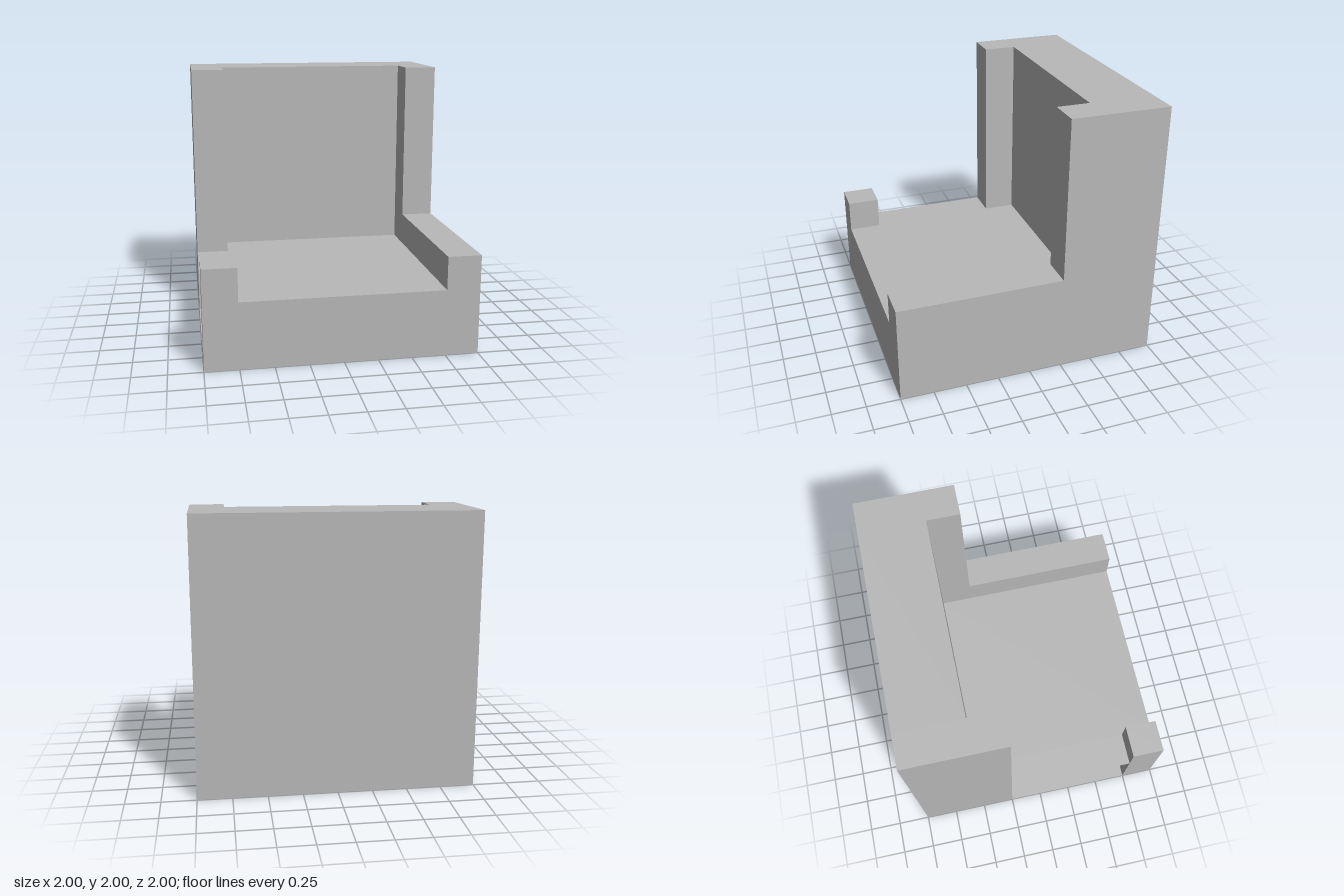
import * as THREE from 'three';

export function createModel() {
  const group = new THREE.Group();
  group.name = 'armchair';
  const grey = new THREE.MeshStandardMaterial({ color: 0xb8b8b8, side: THREE.DoubleSide });
  grey.name = 'grey';

  // box given by its minimum and maximum on each axis
  function block(name, [x0, x1], [y0, y1], [z0, z1]) {
    const mesh = new THREE.Mesh(new THREE.BoxGeometry(x1 - x0, y1 - y0, z1 - z0), grey);
    mesh.position.set((x0 + x1) / 2, (y0 + y1) / 2, (z0 + z1) / 2);
    mesh.name = name;
    group.add(mesh);
  }

  // horizontal sheet facing up (dir 1) or down (dir -1)
  function sheet(name, [x0, x1], y, [z0, z1], dir) {
    const geo = new THREE.PlaneGeometry(x1 - x0, z1 - z0).rotateX(-dir * Math.PI / 2);
    const mesh = new THREE.Mesh(geo, grey);
    mesh.position.set((x0 + x1) / 2, y, (z0 + z1) / 2);
    mesh.name = name;
    group.add(mesh);
  }

  // backrest with a deeper post at each end
  block('backrest', [-0.75, 0.75], [0, 2], [-1, -0.5]);
  block('leftBackPost', [0.75, 1], [0, 2], [-1, -0.25]);
  block('rightBackPost', [-1, -0.75], [0, 2], [-1, -0.25]);

  // full armrest on the left, only a short front post on the right
  block('leftArmrest', [0.75, 1], [0, 0.75], [-0.25, 1]);
  block('rightFrontPost', [-1, -0.75], [0, 0.75], [0.75, 1]);

  // hollow seat, open on the right side between the posts
  for (const [name, y, dir] of [['seatTop', 0.5, 1], ['seatBottom', 0, -1]]) {
    sheet(name, [-0.75, 0.75], y, [-0.5, 1], dir);
    sheet(name + 'Edge', [-1, -0.75], y, [-0.25, 0.75], dir);
  }
  const front = new THREE.Mesh(new THREE.PlaneGeometry(1.5, 0.5), grey);
  front.position.set(0, 0.25, 1);
  front.name = 'seatFront';
  group.add(front);

  return group;
}
